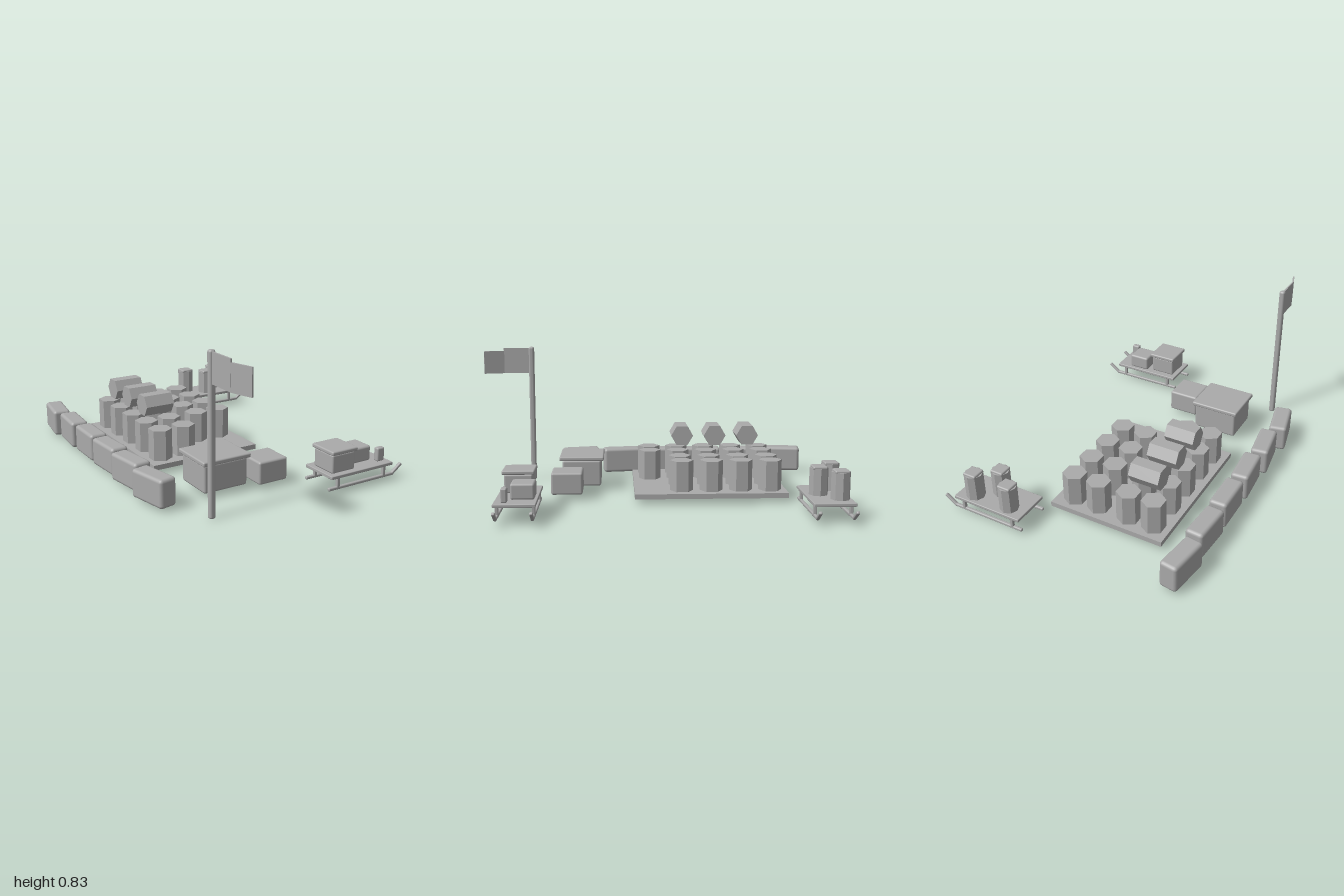
import * as THREE from 'three';
import { RoundedBoxGeometry } from 'three/addons/geometries/RoundedBoxGeometry.js';

export function createModel() {
  const model = new THREE.Group();
  model.name = 'supplyDepot';
  const grey = new THREE.MeshStandardMaterial({ color: 0xaaaaaa });
  grey.name = 'plain grey';

  const add = (name, geometry, x, y, z, parent = model) => {
    const mesh = new THREE.Mesh(geometry, grey);
    mesh.name = name;
    mesh.position.set(x, y, z);
    parent.add(mesh);
    return mesh;
  };
  // Box with softened edges, given by its size
  const soft = (w, h, d, r = 0.01) => new RoundedBoxGeometry(w, h, d, 2, r);
  // Prism with flat faces
  const prism = (r, h, sides) => {
    const g = new THREE.CylinderGeometry(r, r, h, sides).toNonIndexed();
    g.computeVertexNormals();
    return g;
  };
  const group = (name, x, z) => {
    const g = new THREE.Group();
    g.name = name;
    g.position.set(x, 0, z);
    model.add(g);
    return g;
  };

  // Pallet with rows of standing drums; the right-hand columns have one extra
  add('pallet', new THREE.BoxGeometry(0.658, 0.028, 0.85), -0.139, 0.044, -0.325);
  const drum = prism(0.065, 0.17, 6);
  [-0.377, -0.233, -0.055, 0.09].forEach((x, column) => {
    const rows = column < 2 ? 5 : 4;
    for (let i = 0; i < rows; i++) add('standingDrum', drum, x, 0.143, -0.66 + i * 0.1655);
  });

  // Drums lying on top of the rows
  for (let i = 0; i < 3; i++) {
    add('lyingDrum', drum, -0.305, 0.312, -0.578 + i * 0.194).rotation.z = Math.PI / 2;
  }

  // Curved wall of bags
  const bag = soft(0.1, 0.152, 0.232, 0.018);
  for (let i = 0; i < 6; i++) {
    add('wallBag', bag, -0.637, 0.093, -0.865 + i * 0.258).rotation.y = (i - 2) * 0.07;
  }

  // Crates on the ground
  add('largeCrate', soft(0.256, 0.152, 0.225, 0.012), -0.273, 0.106, 0.403);
  add('largeCrateLid', soft(0.282, 0.025, 0.258, 0.008), -0.273, 0.193, 0.403);
  add('smallCrate', soft(0.176, 0.125, 0.176, 0.012), -0.015, 0.0925, 0.478);

  // Flagpole and a flag bent in two panels
  add('flagpole', soft(0.033, 0.826, 0.033, 0.012), -0.48, 0.413, 0.715);
  add('flagInnerPanel', new THREE.BoxGeometry(0.009, 0.152, 0.155), -0.481, 0.742, 0.805);
  add('flagOuterPanel', new THREE.BoxGeometry(0.009, 0.136, 0.122), -0.463, 0.733, 0.939).rotation.y = 0.3;

  // Sled: deck, posts and runners with upturned tips
  const makeSled = (name, x, z) => {
    const sled = group(name, x, z);
    add('sledDeck', soft(0.41, 0.018, 0.216, 0.004), 0, 0.099, 0, sled);
    for (const side of [-0.0925, 0.0925]) {
      add('runner', soft(0.43, 0.017, 0.018, 0.006), 0, 0.036, side, sled);
      add('runnerTip', soft(0.085, 0.017, 0.018, 0.006), 0.242, 0.056, side, sled).rotation.z = 0.63;
      for (const px of [-0.154, 0.154]) {
        add('runnerPost', soft(0.018, 0.06, 0.018, 0.004), px, 0.066, side, sled);
      }
    }
    return sled;
  };

  // Front sled with boxes
  const boxSled = makeSled('boxSled', 0.37, 0.71);
  add('sledCrate', soft(0.148, 0.102, 0.15, 0.01), -0.106, 0.157, 0.003, boxSled);
  add('sledCrateLid', soft(0.166, 0.023, 0.172, 0.008), -0.106, 0.2185, 0.003, boxSled);
  add('sledBox', soft(0.124, 0.084, 0.124, 0.012), 0.056, 0.15, -0.033, boxSled);
  add('sledPouch', soft(0.048, 0.075, 0.032, 0.008), 0.156, 0.1455, 0.053, boxSled);

  // Rear sled with capped canisters
  const canisterSled = makeSled('canisterSled', 0.42, -0.892);
  for (const [x, z] of [[-0.108, -0.047], [0.108, -0.047], [0.002, 0.04]]) {
    add('canister', prism(0.05, 0.145, 8), x, 0.178, z, canisterSled);
    add('canisterCap', soft(0.077, 0.02, 0.077, 0.008), x, 0.251, z, canisterSled);
  }

  return model;
}
